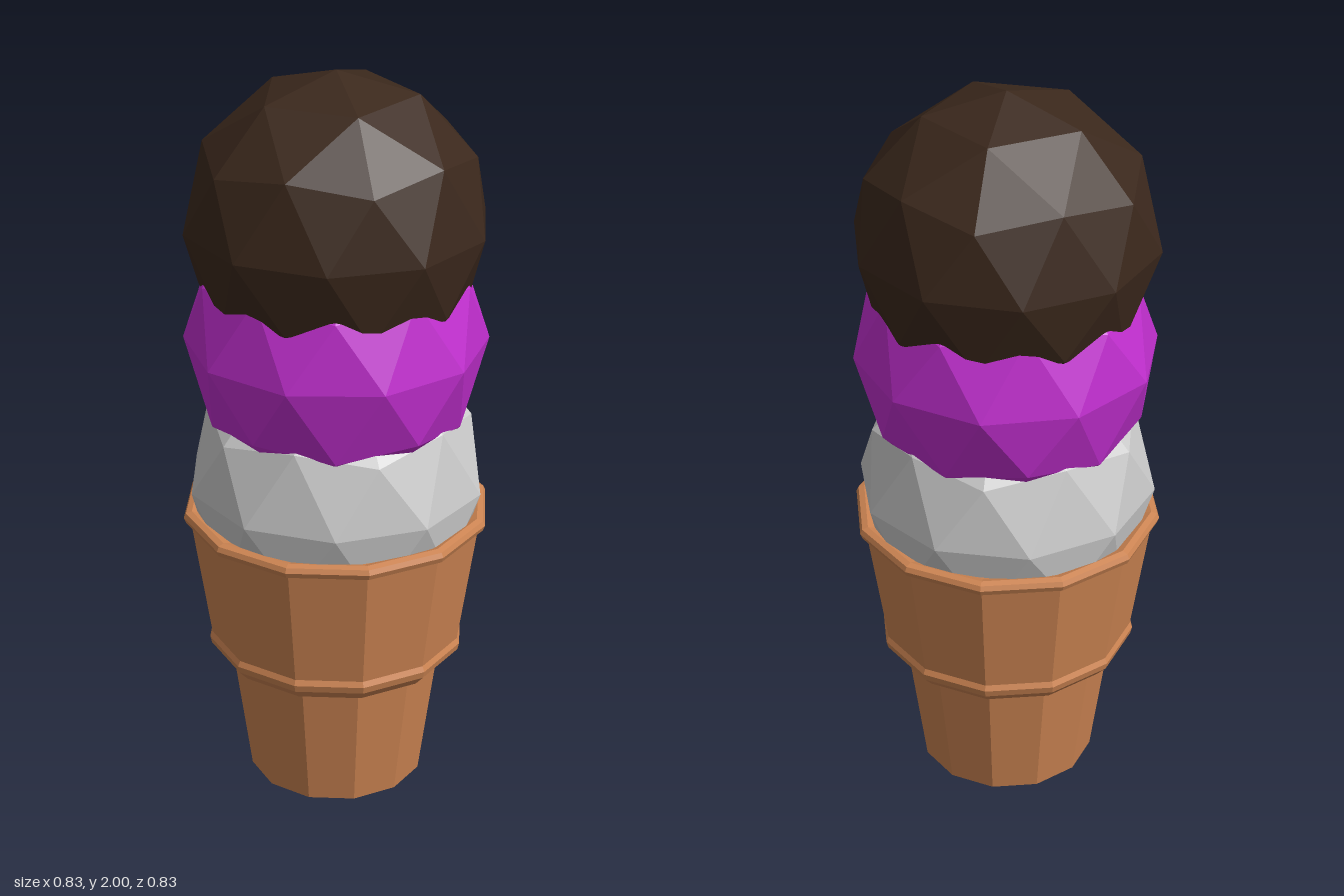
import * as THREE from 'three';

const material = (color) => new THREE.MeshStandardMaterial({ color, flatShading: true });

// Low-poly ball with a vertex at its pole; azimuth (degrees, from +x toward +z) places the upper ring of corners
function scoop(name, color, y, azimuth) {
  const geometry = new THREE.IcosahedronGeometry(0.4, 1);
  geometry.rotateZ(Math.atan2(1, (1 + Math.sqrt(5)) / 2));
  geometry.rotateY(THREE.MathUtils.degToRad(180 - azimuth));
  const mesh = new THREE.Mesh(geometry, material(color));
  mesh.name = name;
  mesh.position.y = y;
  return mesh;
}

// Twelve-sided turned part from [radius, height] pairs, listed bottom to top
function turned(name, color, profile) {
  const points = profile.map(([r, y]) => new THREE.Vector2(r, y));
  const mesh = new THREE.Mesh(new THREE.LatheGeometry(points, 12), material(color));
  mesh.name = name;
  return mesh;
}

export function createModel() {
  const group = new THREE.Group();
  group.name = 'iceCream';

  // Wafer cup: narrow grip, stepped collar, wider bowl, rolled rim and closed top
  group.add(turned('waferCup', 0xcc8452, [
    [0, 0], [0.24, 0], [0.29, 0.37],
    [0.32, 0.37], [0.347, 0.4], [0.352, 0.42], [0.345, 0.435],
    [0.395, 0.77], [0.409, 0.775], [0.415, 0.79], [0.409, 0.803], [0.393, 0.808],
    [0.37, 0.8], [0, 0.8],
  ]));

  // Three stacked scoops, bottom to top
  group.add(
    scoop('bottomScoop', 0xcccccc, 0.88, -18),
    scoop('middleScoop', 0xc22fd0, 1.28, 0),
    scoop('topScoop', 0x3b281c, 1.6, -15),
  );
  return group;
}
